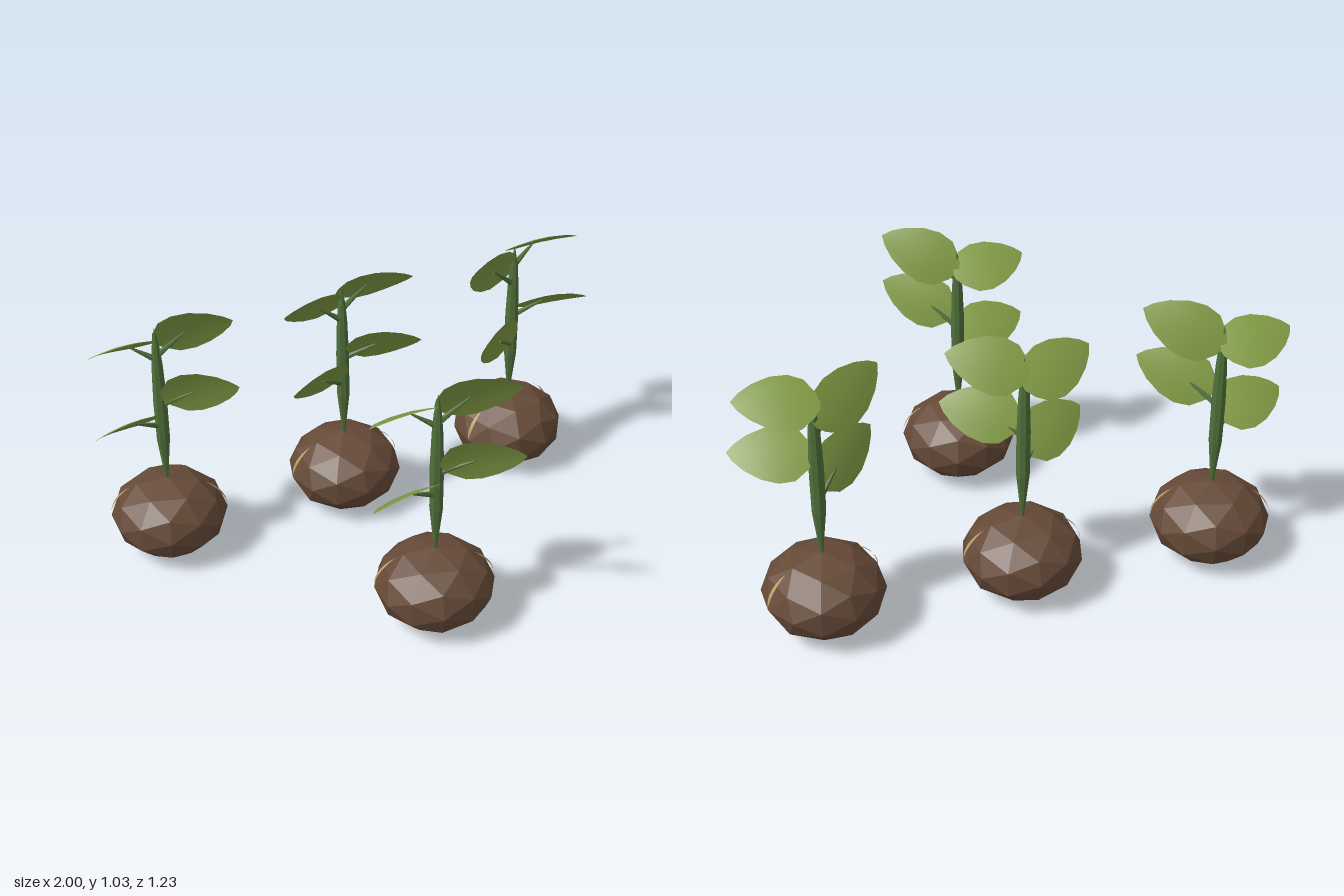
import * as THREE from 'three';

const nutMat = new THREE.MeshStandardMaterial({ color: 0x664a38, flatShading: true });
nutMat.name = 'brown husk';
const crackMat = new THREE.MeshStandardMaterial({ color: 0xb59a62, side: THREE.DoubleSide });
crackMat.name = 'pale fibre';
const stemMat = new THREE.MeshStandardMaterial({ color: 0x50703a, flatShading: true });
stemMat.name = 'stem green';
const leafMat = new THREE.MeshStandardMaterial({ color: 0x829c45, side: THREE.DoubleSide });
leafMat.name = 'leaf green';

const V = (x, y, z) => new THREE.Vector3(x, y, z);

function add(parent, name, geometry, material) {
  const mesh = new THREE.Mesh(geometry, material);
  mesh.name = name;
  parent.add(mesh);
  return mesh;
}

// Surface through rows of points, each row having the same length
function loft(rows) {
  const n = rows[0].length, index = [];
  for (let i = 0; i < rows.length - 1; i++)
    for (let j = 0; j < n - 1; j++) {
      const a = i * n + j;
      index.push(a, a + 1, a + n, a + 1, a + n + 1, a + n);
    }
  const geo = new THREE.BufferGeometry().setFromPoints(rows.flat());
  geo.setIndex(index);
  geo.computeVertexNormals();
  return geo;
}

// Right-hand leaf poses: [level, swept forward]; the sweep blends between them
const POSES = {
  lower: {
    drop: 0.108,
    level: { base: V(0, 0.7, 0.01), tip: V(0.28, 0.72, 0.09), up: V(0.14, 0.77, -0.62) },
    swept: { base: V(0, 0.68, 0.03), tip: V(0.235, 0.77, 0.205), up: V(0.49, 0.31, -0.82) },
  },
  upper: {
    drop: 0.05,
    level: { base: V(-0.02, 0.925, -0.04), tip: V(0.26, 0.955, 0.02), up: V(0.03, 0.82, -0.57) },
    swept: { base: V(0, 0.89, -0.02), tip: V(0.25, 1.0, 0.13), up: V(0.35, 0.385, -0.857) },
  },
};
// Leaf half width along its length
const OUTLINE = [[0, 0.1], [0.06, 0.45], [0.2, 0.88], [0.38, 1], [0.58, 0.9], [0.78, 0.62], [0.92, 0.3], [1, 0]];

function addLeaf(plant, tier, side, sweep) {
  const { level, swept, drop } = POSES[tier];
  const mix = (k) => level[k].clone().lerp(swept[k], sweep);
  const base = mix('base'), tip = mix('tip'), up = mix('up').normalize();
  const across = up.clone().cross(tip.clone().sub(base)).normalize();
  up.copy(tip).sub(base).cross(across).normalize();
  const place = (p) => {
    p.x *= side;
    if (side < 0) p.y -= drop;
    return p;
  };
  // gently arched blade
  const point = (t, w, lift = 0) => base.clone().lerp(tip, t)
    .addScaledVector(across, w)
    .addScaledVector(up, 0.018 * Math.sin(Math.PI * t) - 0.8 * w * w + lift);
  const rows = OUTLINE.map(([t, f]) =>
    [-1, -0.5, 0, 0.5, 1].map((u) => place(point(t, u * f * 0.1))));
  add(plant, tier + 'Leaf', loft(rows), leafMat);

  // stalk from the stem to the underside of the blade
  const from = place(V(0, base.y - 0.045, 0));
  const to = place(point(0.4, 0, -0.008));
  const dir = to.clone().sub(from);
  const stalk = add(plant, tier + 'LeafStalk', new THREE.CylinderGeometry(0.003, 0.013, dir.length(), 6), stemMat);
  stalk.position.copy(from).addScaledVector(dir, 0.5);
  stalk.quaternion.setFromUnitVectors(V(0, 1, 0), dir.normalize());
}

function addNut(plant, yaw) {
  const nut = new THREE.Group();
  nut.name = 'nut';
  nut.position.y = 0.16;
  nut.rotation.y = yaw;
  plant.add(nut);
  add(nut, 'husk', new THREE.IcosahedronGeometry(1, 1).scale(0.218, 0.157, 0.218), nutMat);

  // tapering split on each side
  for (const side of [0, Math.PI]) {
    const rows = [];
    for (let i = 0; i <= 8; i++) {
      const t = i / 8, lat = 0.06 + 0.8 * t, half = 0.04 * Math.pow(Math.sin(Math.PI * t), 0.7);
      rows.push([-half, half].map((a) => V(
        0.219 * Math.cos(lat) * Math.cos(side + a),
        0.158 * Math.sin(lat),
        0.219 * Math.cos(lat) * Math.sin(side + a))));
    }
    add(nut, 'split', loft(rows), crackMat);
  }
}

function createPlant(x, z, yaw, leftSweep, rightSweep) {
  const plant = new THREE.Group();
  plant.name = 'seedling';
  plant.position.set(x, 0, z);
  addNut(plant, yaw);
  // spindle-shaped stem
  const profile = [[0.004, 0.3], [0.013, 0.38], [0.025, 0.49], [0.026, 0.66], [0.021, 0.8], [0.015, 0.88], [0, 0.96]];
  add(plant, 'stem', new THREE.LatheGeometry(profile.map(([r, y]) => new THREE.Vector2(r, y)), 8), stemMat);
  for (const tier of ['lower', 'upper']) {
    addLeaf(plant, tier, -1, leftSweep);
    addLeaf(plant, tier, 1, rightSweep);
  }
  return plant;
}

export function createModel() {
  const model = new THREE.Group();
  model.name = 'sproutingNuts';
  model.add(
    createPlant(-0.72, -0.4, -0.3, 0, 1),
    createPlant(0, -0.4, 0, 0.5, 0.5),
    createPlant(0.72, -0.4, 0.3, 1, 0),
    createPlant(0, 0.4, -0.3, 0, 1),
  );
  return model;
}
